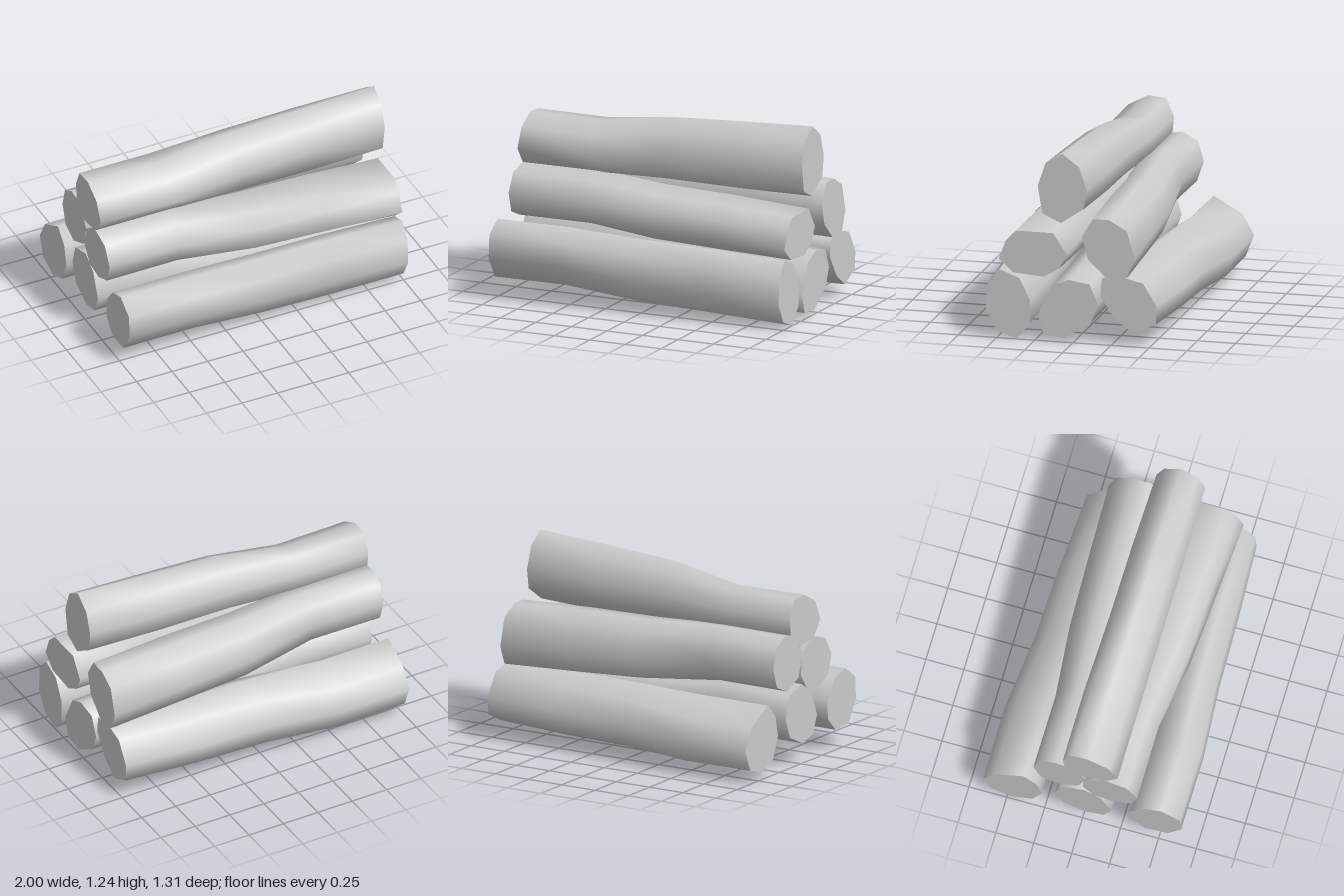
import * as THREE from 'three';

// Each log: eight [z, y] corners of its -x end and of its +x end, clockwise seen from +x
const LOGS = {
  frontBottomLog: [
    [[.52, .51], [.40, .47], [.31, .35], [.32, .22], [.41, .13], [.56, .14], [.65, .28], [.64, .43]],
    [[.48, .45], [.35, .40], [.28, .26], [.28, .11], [.37, 0], [.50, .05], [.57, .18], [.56, .35]],
  ],
  middleBottomLog: [
    [[.01, .52], [-.14, .47], [-.18, .33], [-.13, .20], [.02, .13], [.14, .16], [.19, .28], [.12, .45]],
    [[.03, .41], [-.11, .39], [-.165, .26], [-.12, .14], [.05, .03], [.19, .04], [.23, .17], [.14, .36]],
  ],
  backBottomLog: [
    [[-.39, .47], [-.58, .365], [-.655, .23], [-.60, .09], [-.46, .045], [-.33, .10], [-.27, .24], [-.30, .38]],
    [[-.31, .455], [-.46, .42], [-.55, .275], [-.545, .16], [-.40, .09], [-.28, .17], [-.18, .32], [-.19, .43]],
  ],
  frontMiddleLog: [
    [[.13, .80], [.02, .72], [0, .58], [.07, .48], [.20, .46], [.32, .51], [.36, .64], [.29, .76]],
    [[.13, .71], [.04, .575], [.09, .48], [.19, .42], [.39, .435], [.485, .52], [.44, .64], [.37, .71]],
  ],
  backMiddleLog: [
    [[-.08, .86], [-.19, .875], [-.29, .82], [-.325, .69], [-.28, .56], [-.16, .51], [-.03, .57], [.02, .72]],
    [[-.13, .82], [-.24, .82], [-.355, .755], [-.405, .575], [-.355, .45], [-.22, .44], [-.10, .55], [-.06, .70]],
  ],
  topLog: [
    [[.04, 1.10], [-.08, 1.09], [-.13, .97], [-.12, .87], [-.01, .77], [.15, .79], [.23, .90], [.17, 1.03]],
    [[.07, 1.235], [-.04, 1.155], [-.09, 1.01], [-.07, .88], [.08, .78], [.20, .835], [.23, 1.015], [.18, 1.165]],
  ],
};

// Stations along a log: [x, blend from -x end to +x end, swelling]
const STATIONS = [[-1, 0, 1], [-.5, -.03, 1], [0, .55, 1.03], [.5, .75, 1.04], [1, 1, 1]];

function ringAt(startEnd, finishEnd, [x, blend, swell]) {
  const ring = startEnd.map(([z, y], i) => new THREE.Vector3(
    x,
    THREE.MathUtils.lerp(y, finishEnd[i][1], blend),
    THREE.MathUtils.lerp(z, finishEnd[i][0], blend),
  ));
  const centre = new THREE.Vector3();
  ring.forEach((p) => centre.addScaledVector(p, 1 / ring.length));
  ring.forEach((p) => p.sub(centre).multiplyScalar(swell).add(centre));
  return ring;
}

function logGeometry(startEnd, finishEnd) {
  const n = startEnd.length;
  const rings = STATIONS.map((s) => ringAt(startEnd, finishEnd, s));
  const last = rings.length - 1;
  // The end rings are repeated so the caps keep a sharp edge
  const points = [...rings, rings[0], rings[last]].flat();
  const index = [];

  // Bark
  for (let j = 0; j < last; j++) {
    for (let i = 0; i < n; i++) {
      const a = j * n + i;
      const b = j * n + (i + 1) % n;
      index.push(a, a + n, b, b, a + n, b + n);
    }
  }
  // Sawn ends
  const c0 = rings.length * n;
  const c1 = c0 + n;
  for (let i = 1; i < n - 1; i++) {
    index.push(c0, c0 + i, c0 + i + 1);
    index.push(c1, c1 + i + 1, c1 + i);
  }

  const geometry = new THREE.BufferGeometry().setFromPoints(points);
  geometry.setIndex(index);
  geometry.computeVertexNormals();
  return geometry;
}

export function createModel() {
  const group = new THREE.Group();
  group.name = 'logPile';
  const material = new THREE.MeshStandardMaterial({ color: 0xcccccc });
  for (const [name, [startEnd, finishEnd]] of Object.entries(LOGS)) {
    const log = new THREE.Mesh(logGeometry(startEnd, finishEnd), material);
    log.name = name;
    group.add(log);
  }
  return group;
}
